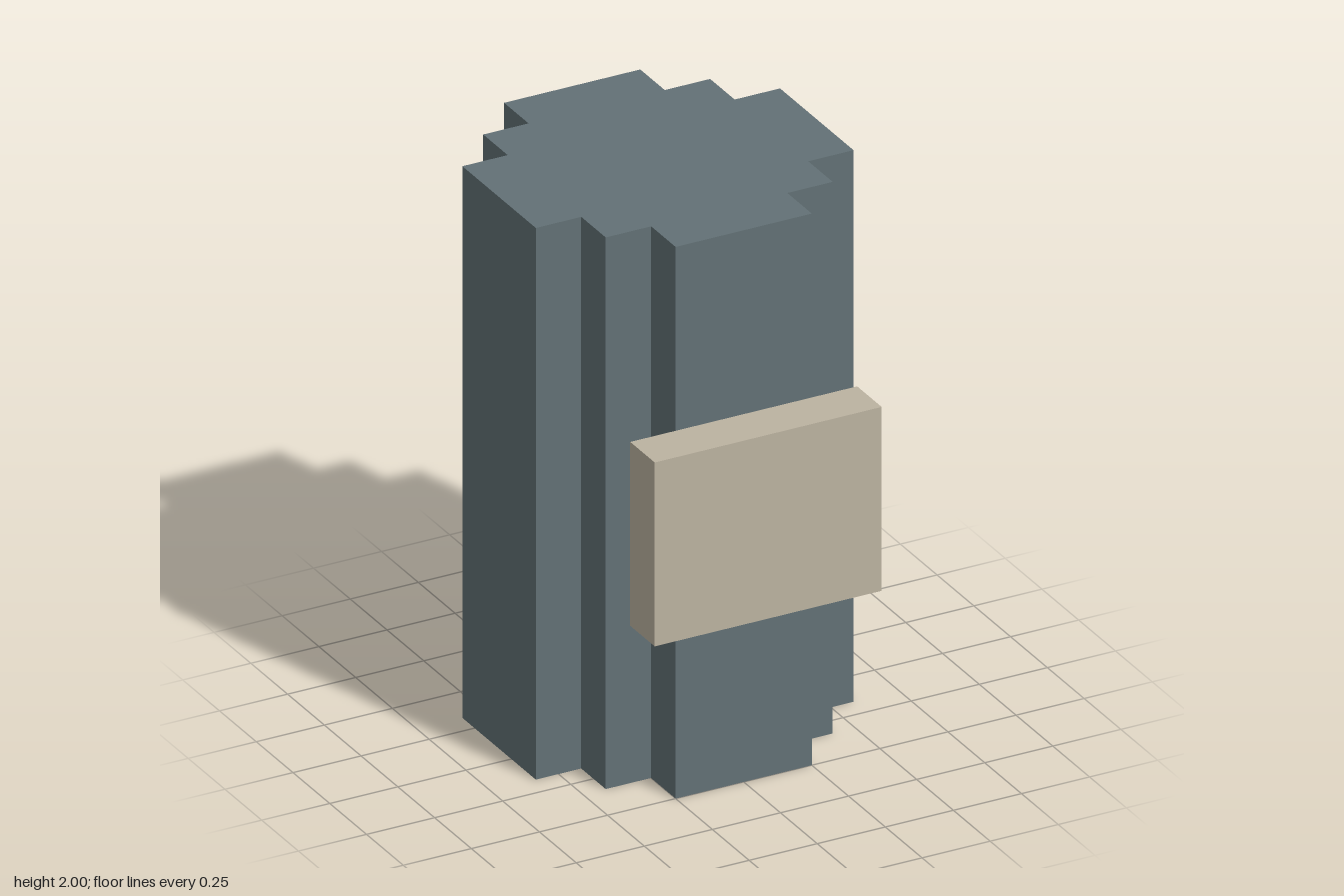
import * as THREE from 'three';

const U = 1 / 12; // grid unit

export function createModel() {
  const group = new THREE.Group();
  const slate = new THREE.MeshStandardMaterial({ color: 0x637176 });
  slate.name = 'slate';
  const sand = new THREE.MeshStandardMaterial({ color: 0xbcb3a1 });
  sand.name = 'sand';

  // Stepped outline of one quarter, mirrored into the other three
  const quarter = [[7, 3], [5, 3], [5, 5], [3, 5], [3, 7]];
  const half = [...quarter, ...quarter.map(([x, y]) => [-x, y]).reverse()];
  const outline = [...half, ...half.map(([x, y]) => [-x, -y])];
  const shape = new THREE.Shape(outline.map(([x, y]) => new THREE.Vector2(x * U, y * U)));

  // Upright column
  const columnGeometry = new THREE.ExtrudeGeometry(shape, { depth: 24 * U, bevelEnabled: false });
  columnGeometry.rotateX(-Math.PI / 2);
  const column = new THREE.Mesh(columnGeometry, slate);
  column.name = 'column';
  column.position.z = -U;
  group.add(column);

  // Plaque on the front face
  const plaque = new THREE.Mesh(new THREE.BoxGeometry(10 * U, 8 * U, 2 * U), sand);
  plaque.name = 'frontPlaque';
  plaque.position.set(0, 12 * U, 7 * U);
  group.add(plaque);

  return group;
}
